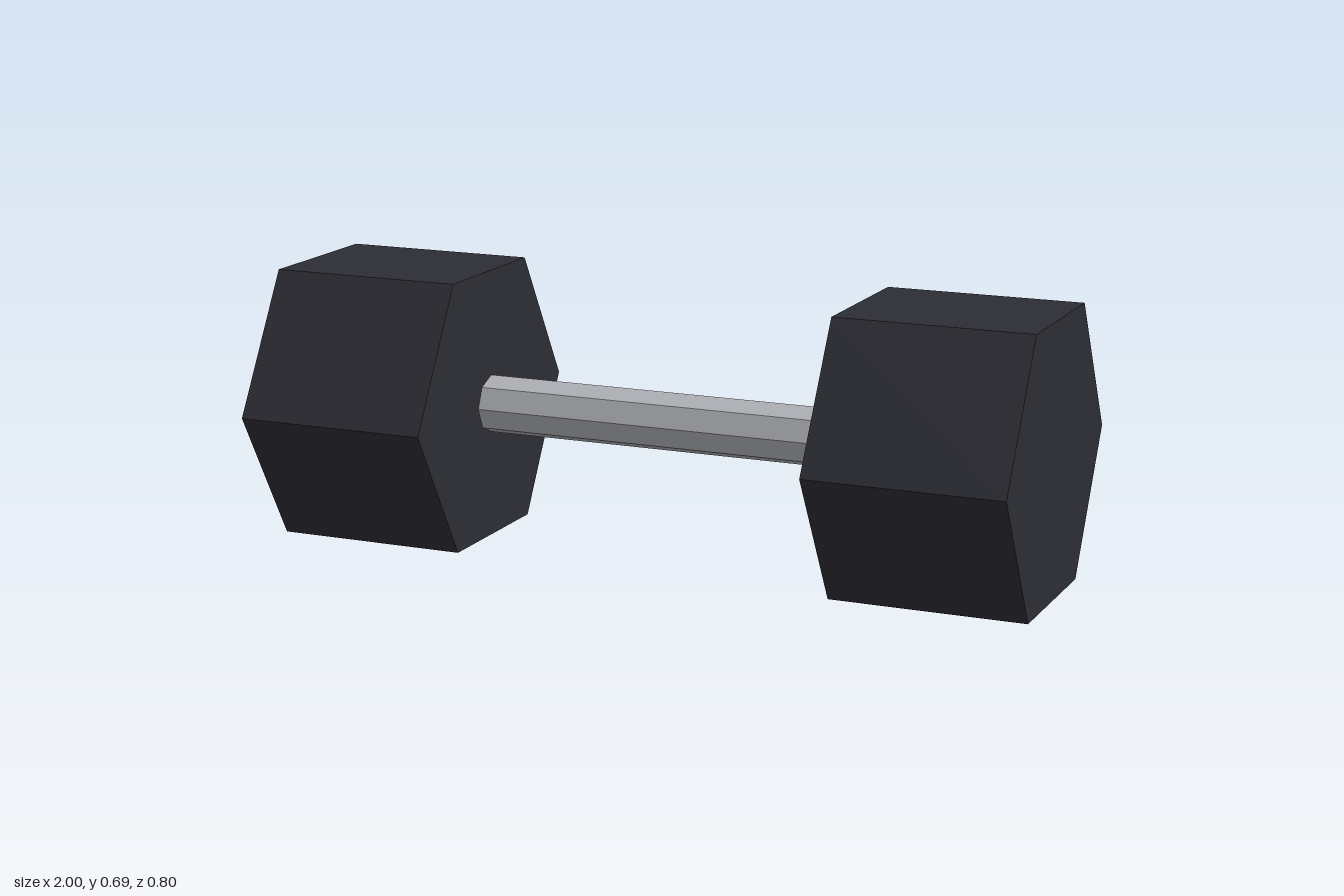
import * as THREE from 'three';

const HEAD_RADIUS = 0.4;
const AXIS_HEIGHT = HEAD_RADIUS * Math.sqrt(3) / 2;

// Prism lying along x, with a corner facing +z
function prism(name, radius, length, sides, x, material) {
  const geometry = new THREE.CylinderGeometry(radius, radius, length, sides);
  geometry.rotateZ(Math.PI / 2);
  const mesh = new THREE.Mesh(geometry, material);
  mesh.name = name;
  mesh.position.set(x, AXIS_HEIGHT, 0);
  return mesh;
}

export function createModel() {
  const rubber = new THREE.MeshStandardMaterial({ color: 0x2d2d35 });
  rubber.name = 'dark rubber';
  rubber.flatShading = true;
  const steel = new THREE.MeshStandardMaterial({ color: 0xb0b2b8 });
  steel.name = 'steel';
  steel.flatShading = true;

  const model = new THREE.Group();
  model.name = 'dumbbell';

  // Octagonal grip between the heads
  model.add(prism('handle', 0.075, 1, 8, 0, steel));

  // Hexagonal weights, one on each end
  for (const side of [-1, 1]) {
    const name = side > 0 ? 'leftHead' : 'rightHead';
    model.add(prism(name, HEAD_RADIUS, 0.5, 6, side * 0.75, rubber));
  }
  return model;
}
